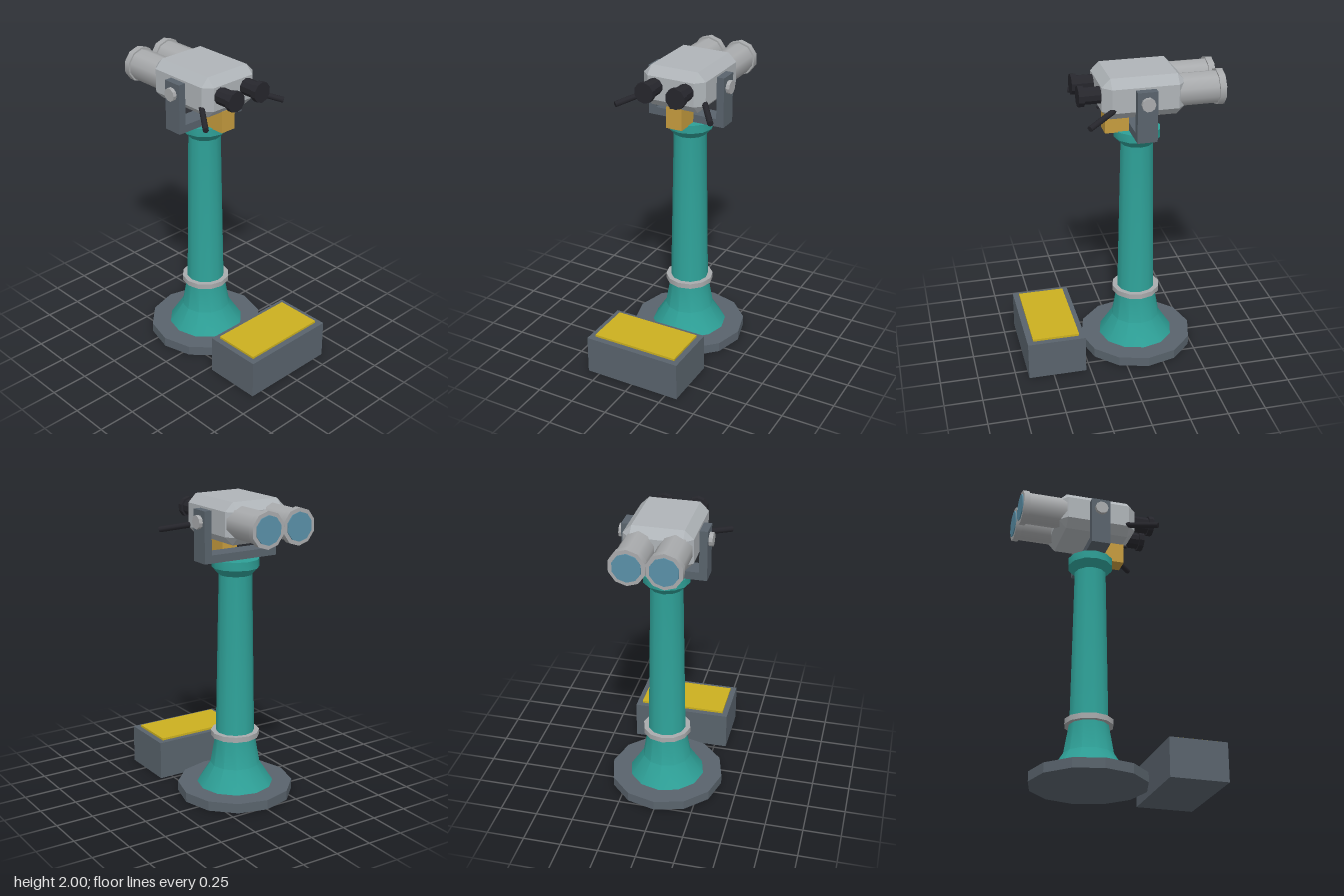
import * as THREE from 'three';
import { toCreasedNormals } from 'three/addons/utils/BufferGeometryUtils.js';
import { ConvexGeometry } from 'three/addons/geometries/ConvexGeometry.js';

const mat = (name, color) => {
  const m = new THREE.MeshStandardMaterial({ color });
  m.name = name;
  return m;
};

export function createModel() {
  const slate = mat('slate', 0x59636c);
  const teal = mat('teal', 0x2ea097);
  const grey = mat('light grey', 0xafb4b8);
  const silver = mat('silver', 0xa9abad);
  const black = mat('black', 0x26262c);
  const gold = mat('ochre', 0xc69c3e);
  const yellow = mat('yellow', 0xcbb020);
  const glass = mat('lens blue', 0x5a90a8);

  const group = new THREE.Group();
  const PZ = -0.142; // pedestal axis

  const add = (name, geometry, material, x = 0, y = 0, z = 0) => {
    const mesh = new THREE.Mesh(geometry, material);
    mesh.name = name;
    mesh.position.set(x, y, z);
    group.add(mesh);
    return mesh;
  };
  const flat = (g) => {
    const n = g.toNonIndexed();
    n.computeVertexNormals();
    return n;
  };
  // box and cylinder given by their extents
  const box = (name, material, x0, x1, y0, y1, z0, z1) =>
    add(name, new THREE.BoxGeometry(x1 - x0, y1 - y0, z1 - z0), material,
      (x0 + x1) / 2, (y0 + y1) / 2, (z0 + z1) / 2);
  const zTube = (name, material, r, sides, x, y, z0, z1, faceted) => {
    const g = new THREE.CylinderGeometry(r, r, z1 - z0, sides).rotateX(Math.PI / 2);
    return add(name, faceted ? flat(g) : g, material, x, y, (z0 + z1) / 2);
  };

  // Pedestal: base plate, flared column with collar, ring
  add('basePlate', flat(new THREE.CylinderGeometry(0.384, 0.384, 0.065, 12)), slate, 0, 0.0325, PZ);
  const profile = [
    [0.254, 0.065], [0.165, 0.205], [0.128, 0.415], [0.108, 1.497],
    [0.153, 1.545], [0.153, 1.6], [0, 1.6],
  ].map(([r, y]) => new THREE.Vector2(r, y));
  add('column', toCreasedNormals(new THREE.LatheGeometry(profile, 12), 0.6), teal, 0, 0, PZ);
  add('columnRing', new THREE.CylinderGeometry(0.161, 0.161, 0.036, 12), silver, 0, 0.416, PZ);

  // Step in front of the pedestal
  box('step', slate, -0.333, 0.333, 0, 0.26, 0.28, 0.667);
  box('stepTread', yellow, -0.295, 0.295, 0.26, 0.275, 0.317, 0.627);

  // U-shaped yoke and coin box
  box('yokeBar', slate, -0.27, 0.27, 1.6, 1.652, -0.206, -0.077);
  box('coinBox', gold, -0.056, 0.056, 1.595, 1.74, -0.076, 0.08);
  box('coinSlot', black, -0.01, 0.01, 1.748, 1.761, 0.06, 0.118);

  // Head: box with every edge chamfered
  const half = [0.218, 0.1325, 0.268], c = 0.055, pts = [];
  for (const sx of [-1, 1]) for (const sy of [-1, 1]) for (const sz of [-1, 1]) {
    for (let axis = 0; axis < 3; axis++) {
      const h = half.map((v, i) => (i === axis ? v : v - c));
      pts.push(new THREE.Vector3(sx * h[0], sy * h[1], sz * h[2]));
    }
  }
  add('head', new ConvexGeometry(pts), grey, 0, 1.8675, -0.143);

  for (const s of [-1, 1]) {
    const side = s > 0 ? 'left' : 'right';

    // Yoke arm and pivot knob
    const [a, b] = s > 0 ? [0.219, 0.27] : [-0.27, -0.219];
    box(side + 'YokeArm', slate, a, b, 1.652, 1.932, -0.206, -0.077);
    const knob = new THREE.CylinderGeometry(0.044, 0.044, 0.028, 10).rotateZ(Math.PI / 2);
    add(side + 'PivotKnob', flat(knob), silver, s * 0.281, 1.857, PZ);

    // Objective tube, rim and lens
    const x = s * 0.112, y = 1.872;
    zTube(side + 'Tube', silver, 0.105, 10, x, y, -0.63, -0.33);
    zTube(side + 'TubeRim', silver, 0.1165, 10, x, y, -0.66, -0.618);
    zTube(side + 'Lens', glass, 0.091, 10, x, y, -0.667, -0.659);

    // Eyepiece and eyecup
    zTube(side + 'Eyepiece', black, 0.055, 10, s * 0.109, 1.882, 0.1, 0.24, true);
    zTube(side + 'Eyecup', black, 0.068, 10, s * 0.109, 1.882, 0.231, 0.267, true);

    // Grip handle reaching out and down
    const from = new THREE.Vector3(s * 0.195, 1.808, 0.045);
    const to = new THREE.Vector3(s * 0.335, 1.757, 0.236);
    const dir = to.clone().sub(from);
    const grip = add(side + 'Grip', new THREE.CylinderGeometry(0.019, 0.019, dir.length(), 8), black);
    grip.position.copy(from).add(to).multiplyScalar(0.5);
    grip.quaternion.setFromUnitVectors(new THREE.Vector3(0, 1, 0), dir.normalize());
  }
  return group;
}
